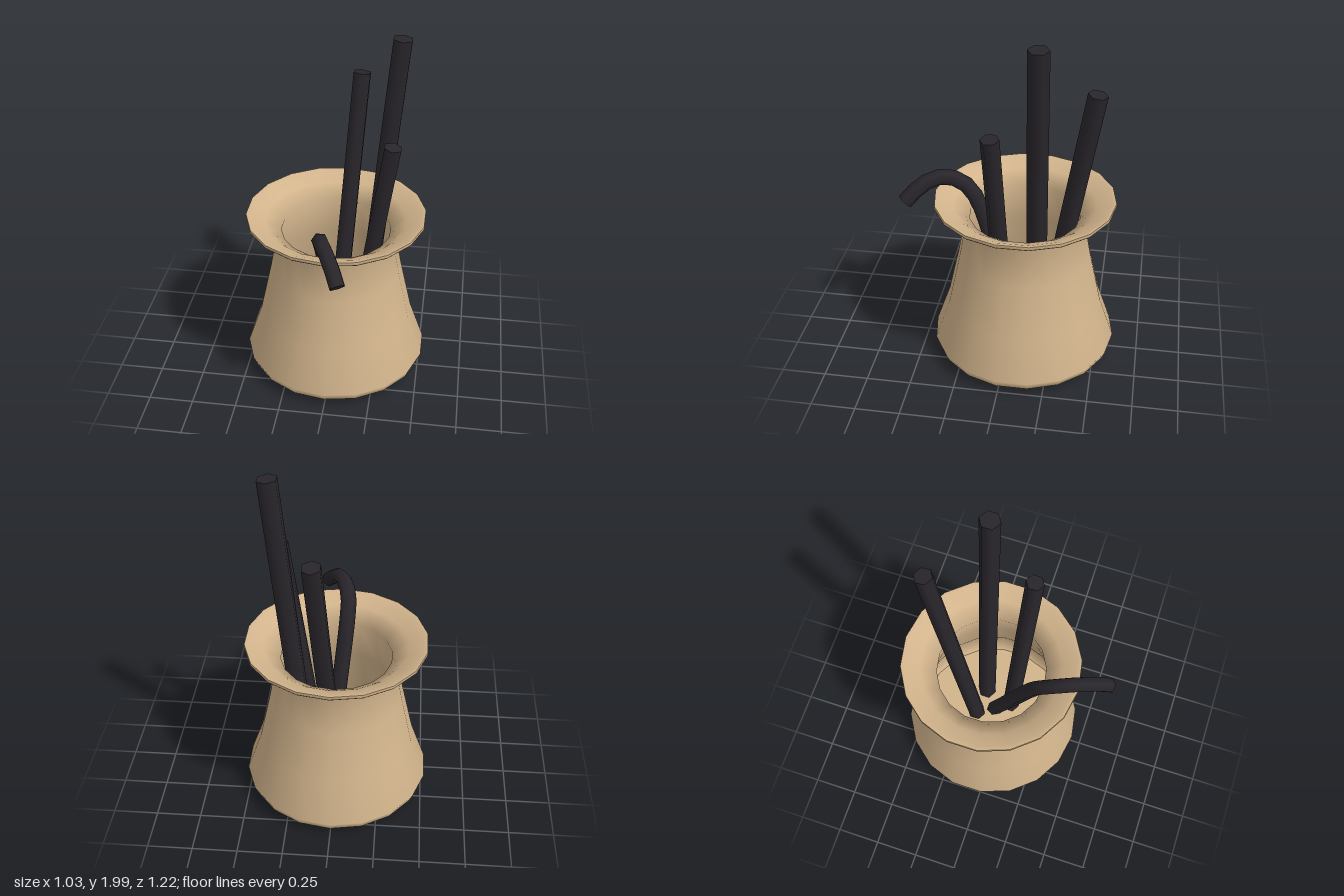
import * as THREE from 'three';

const clay = new THREE.MeshStandardMaterial({ color: 0xd2b48c });
const dark = new THREE.MeshStandardMaterial({ color: 0x29262b });
const SIDES = 18;

function add(parent, name, geometry, material) {
  const mesh = new THREE.Mesh(geometry, material);
  mesh.name = name;
  parent.add(mesh);
  return mesh;
}

// Separate lathes keep the edges between them sharp
function lathe(points) {
  return new THREE.LatheGeometry(points.map(([r, y]) => new THREE.Vector2(r, y)), SIDES);
}

// Straight six-sided rod between two points
function rod(parent, name, from, to, radius) {
  const a = new THREE.Vector3(...from), b = new THREE.Vector3(...to);
  const dir = b.clone().sub(a);
  const mesh = add(parent, name, new THREE.CylinderGeometry(radius, radius, dir.length(), 6), dark);
  mesh.position.copy(a).add(b).multiplyScalar(0.5);
  mesh.quaternion.setFromUnitVectors(new THREE.Vector3(0, 1, 0), dir.normalize());
}

// Six-sided tube through a list of points, closed at both ends
function bentRod(parent, name, points, radius) {
  const group = new THREE.Group();
  group.name = name;
  parent.add(group);
  const curve = new THREE.CatmullRomCurve3(points.map(p => new THREE.Vector3(...p)));
  const segments = 18;
  const tube = new THREE.TubeGeometry(curve, segments, radius, 6);
  add(group, name + 'Tube', tube, dark);
  const pos = tube.attributes.position;
  for (const [label, ring, flip] of [['Start', 0, false], ['End', segments, true]]) {
    const coords = [], index = [];
    for (let i = 0; i < 6; i++) {
      const v = new THREE.Vector3().fromBufferAttribute(pos, ring * 7 + i);
      coords.push(v.x, v.y, v.z);
    }
    for (let i = 1; i < 5; i++) index.push(0, flip ? i + 1 : i, flip ? i : i + 1);
    const cap = new THREE.BufferGeometry();
    cap.setAttribute('position', new THREE.Float32BufferAttribute(coords, 3));
    cap.setIndex(index);
    cap.computeVertexNormals();
    const mesh = add(group, name + label + 'Cap', cap, dark.clone());
    mesh.material.side = THREE.DoubleSide;
  }
}

export function createModel() {
  const model = new THREE.Group();
  model.name = 'potWithRods';

  // Flared pot, set slightly back
  const pot = new THREE.Group();
  pot.name = 'pot';
  pot.position.z = -0.08;
  model.add(pot);
  add(pot, 'base', lathe([[0, 0], [0.455, 0]]), clay);
  add(pot, 'outerWall', lathe([
    [0.455, 0], [0.507, 0.045], [0.525, 0.09], [0.442, 0.33], [0.376, 0.63],
    [0.33, 0.875], [0.418, 0.925], [0.497, 0.96], [0.506, 0.97], [0.504, 0.985],
  ]), clay);
  add(pot, 'innerWall', lathe([
    [0.504, 0.985], [0.48, 0.982], [0.4, 0.945], [0.309, 0.88], [0.355, 0.63],
    [0.42, 0.33], [0.495, 0.1], [0.45, 0.04],
  ]), clay);
  add(pot, 'floor', lathe([[0.45, 0.04], [0, 0.04]]), clay);

  // Rods leaning out of the pot
  rod(model, 'tallRod', [0.145, 0.03, -0.17], [0.33, 1.99, -0.183], 0.056);
  rod(model, 'rearRod', [-0.015, 0.03, -0.185], [0.093, 1.67, -0.46], 0.053);
  rod(model, 'shortRod', [0.1, 0.03, 0.005], [0.315, 1.49, 0.06], 0.051);

  // Rod that hooks over the front rim
  bentRod(model, 'hookedRod', [
    [0.04, 0.03, -0.09], [0.0, 0.5, 0.06], [-0.04, 0.93, 0.2], [-0.042, 1.02, 0.27],
    [-0.02, 1.065, 0.36], [0.015, 1.06, 0.44], [0.055, 1.02, 0.51], [0.095, 0.95, 0.578],
  ], 0.045);

  return model;
}
